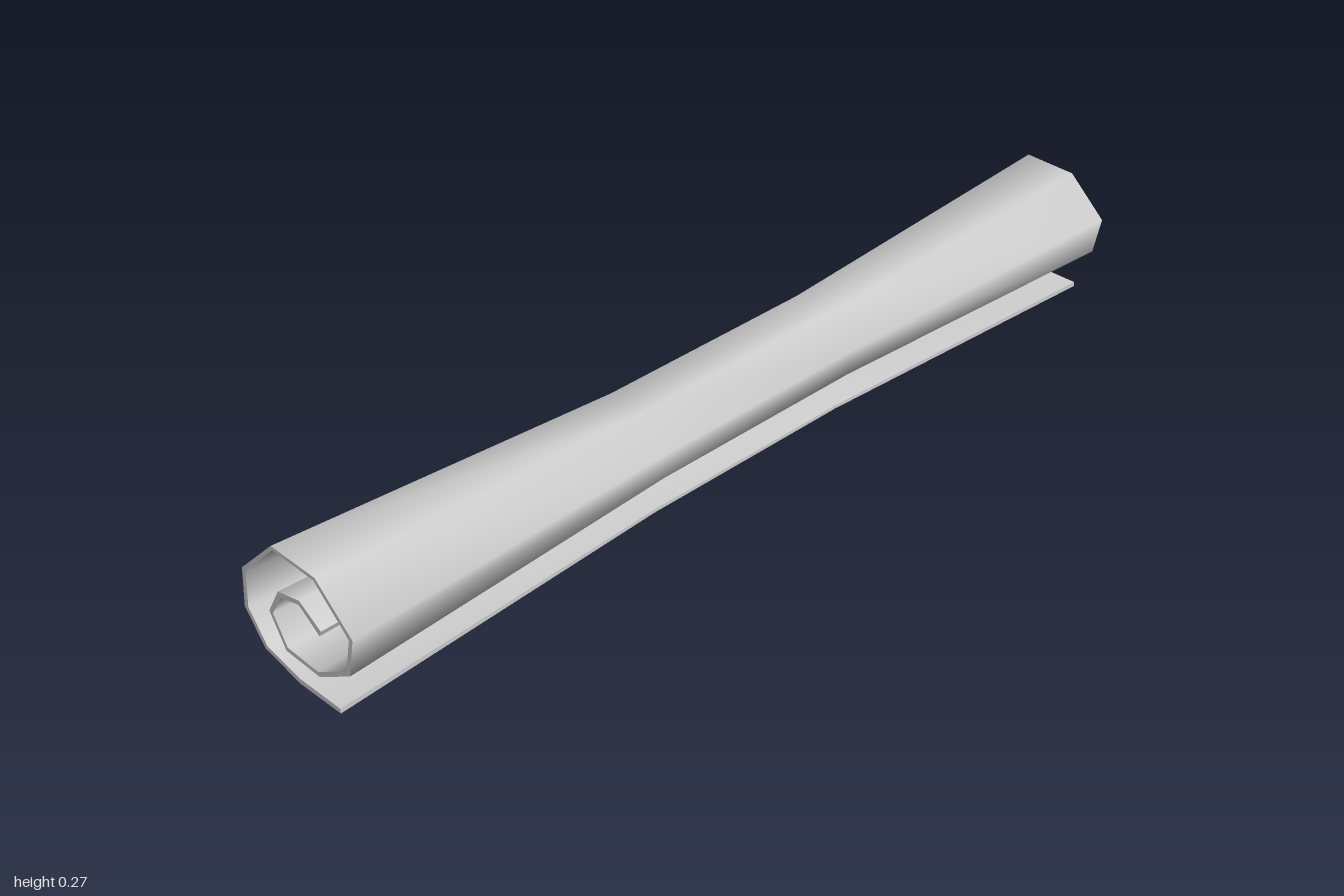
import * as THREE from 'three';
import { mergeGeometries } from 'three/addons/utils/BufferGeometryUtils.js';

// Spiral cross-section at the ends, from the loose tail to the inner tip
const outerEnd = [
  [0.098, 0], [-0.013, 0], [-0.107, 0.024], [-0.154, 0.089], [-0.146, 0.174],
  [-0.05, 0.267], [0.067, 0.263], [0.154, 0.183], [0.137, 0.101], [0.049, 0.049],
  [-0.042, 0.054], [-0.079, 0.119], [-0.046, 0.176], [0.014, 0.189], [0.067, 0.154],
];
const innerEnd = [
  [0.098, 0.01], [-0.013, 0.011], [-0.099, 0.031], [-0.143, 0.092], [-0.137, 0.169],
  [-0.047, 0.26], [0.062, 0.256], [0.144, 0.179], [0.128, 0.107], [0.046, 0.058],
  [-0.037, 0.063], [-0.069, 0.119], [-0.038, 0.167], [0.012, 0.179], [0.062, 0.142],
];

// The waist is the same spiral shrunk about the roll's axis; the tail droops
const WAIST = 0.735, AXIS_Y = 0.123;
const stations = [-1, -0.25, 0.25, 1];

function pointAt([x, y], z, index) {
  if (Math.abs(z) === 1) return [x, y, z];
  const droop = index === 0 ? 0.018 : 0;
  return [x * WAIST, AXIS_Y + (y - AXIS_Y) * WAIST - droop, z];
}

// Smooth surface over a grid of points; its front faces (column step) x (row step)
function sheet(rows) {
  const n = rows[0].length, index = [];
  for (let i = 0; i < rows.length - 1; i++) {
    for (let j = 0; j < n - 1; j++) {
      const a = i * n + j, b = a + 1, c = a + n, d = c + 1;
      index.push(a, b, c, b, d, c);
    }
  }
  const geometry = new THREE.BufferGeometry();
  geometry.setAttribute('position', new THREE.Float32BufferAttribute(rows.flat(2), 3));
  geometry.setIndex(index);
  geometry.computeVertexNormals();
  return geometry;
}

export function createModel() {
  const group = new THREE.Group();
  group.name = 'scroll';
  const material = new THREE.MeshStandardMaterial({ color: 0xcccccc });

  const outer = outerEnd.map((p, i) => stations.map((z) => pointAt(p, z, i)));
  const inner = innerEnd.map((p, i) => stations.map((z) => pointAt(p, z, i)));
  const last = outer.length - 1, front = stations.length - 1;

  const add = (name, ...geometries) => {
    const mesh = new THREE.Mesh(mergeGeometries(geometries), material);
    mesh.name = name;
    group.add(mesh);
  };

  // Two faces of the rolled sheet
  add('outerFace', sheet(outer));
  add('innerFace', sheet(inner.map((row) => [...row].reverse())));

  // Spiral rims at both ends
  add('endRims',
    sheet(outer.map((row, i) => [row[front], inner[i][front]])),
    sheet(outer.map((row, i) => [inner[i][0], row[0]])));

  // Long thin edges at the loose tail and the inner tip
  add('longEdges',
    sheet([inner[0], outer[0]]),
    sheet([outer[last], inner[last]]));

  return group;
}
